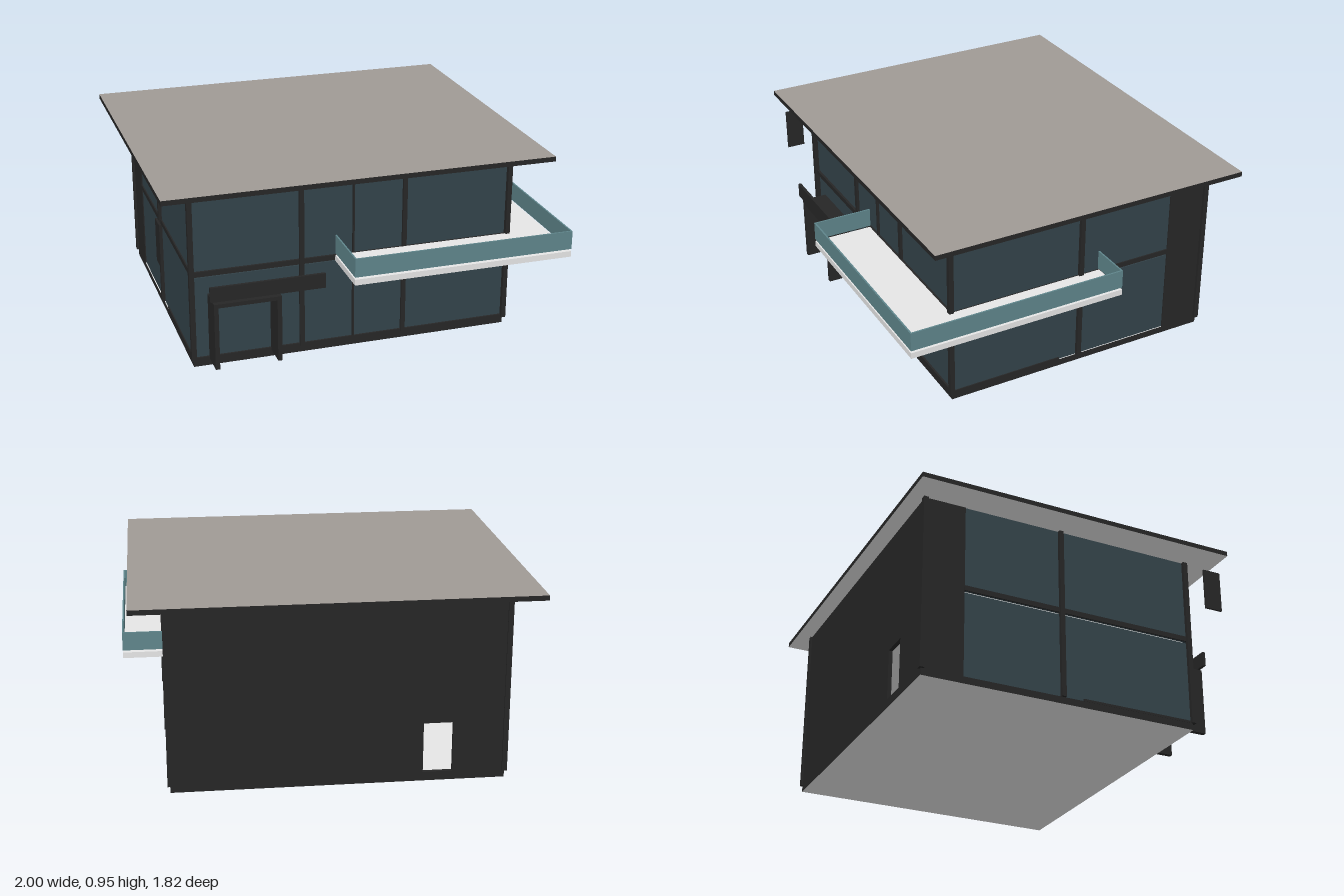
import * as THREE from 'three';

const mat = (name, color) => {
  const m = new THREE.MeshStandardMaterial({ color });
  m.name = name;
  return m;
};

export function createModel() {
  const dark = mat('charcoal frame', 0x262626);
  const glass = mat('tinted window glass', 0x33434a);
  const railGlass = mat('balcony glass', 0x5f858b);
  const white = mat('white concrete', 0xe6e6e6);
  const roofGrey = mat('warm grey roofing', 0xa09a95);

  const house = new THREE.Group();
  house.name = 'house';

  // box given by its limits on each axis
  const box = (name, material, [x0, x1], [y0, y1], [z0, z1], parent = house) => {
    const mesh = new THREE.Mesh(new THREE.BoxGeometry(x1 - x0, y1 - y0, z1 - z0), material);
    mesh.position.set((x0 + x1) / 2, (y0 + y1) / 2, (z0 + z1) / 2);
    mesh.name = name;
    parent.add(mesh);
    return mesh;
  };
  // materials for a slab: sides, top, bottom
  const slab = (side, top, bottom) => [side, side, top, bottom, side, side];
  const group = (name) => {
    const g = new THREE.Group();
    g.name = name;
    house.add(g);
    return g;
  };

  const L = -0.84, R = 0.79, F = 0.6, B = -0.83;
  const base = 0.035, eaves = 0.925;

  // foundation, upper floor and overhanging roof
  box('foundation', slab(dark, white, white), [L, R], [0, base], [B, F]);
  box('upperFloor', white, [L + 0.016, R - 0.016], [0.468, 0.5], [B + 0.02, F - 0.022]);
  box('roof', slab(dark, roofGrey, white), [-1, 0.96], [eaves, 0.95], [-0.91, 0.76]);

  // rear wall with a doorway, and its short side returns
  const wallShape = new THREE.Shape();
  wallShape.moveTo(L, base).lineTo(R, base).lineTo(R, eaves).lineTo(L, eaves).closePath();
  const door = new THREE.Path();
  door.moveTo(-0.58, 0.045).lineTo(-0.58, 0.3).lineTo(-0.435, 0.3).lineTo(-0.435, 0.045).closePath();
  wallShape.holes.push(door);
  const rear = new THREE.Mesh(
    new THREE.ExtrudeGeometry(wallShape, { depth: 0.02, bevelEnabled: false }), dark);
  rear.position.z = B;
  rear.name = 'rearWall';
  house.add(rear);
  box('leftReturnWall', dark, [R - 0.02, R], [base, eaves], [B + 0.02, -0.62]);
  box('rightReturnWall', dark, [L, L + 0.02], [base, eaves], [B + 0.02, -0.62]);

  // glazing on two storeys
  const windows = group('windows');
  for (const y of [[base, 0.468], [0.477, eaves]]) {
    box('frontGlass', glass, [L + 0.005, R - 0.005], y, [F - 0.02, F - 0.008], windows);
    box('leftGlass', glass, [R - 0.015, R - 0.005], y, [-0.62, F - 0.01], windows);
    box('rightGlass', glass, [L + 0.005, L + 0.015], y, [-0.62, F - 0.01], windows);
  }

  // posts, mullions and floor beams
  const frame = group('frame');
  const tall = [base, eaves];
  for (const x of [[L - 0.012, L + 0.013], [R - 0.01, R + 0.013]]) {
    box('frontCornerPost', dark, x, tall, [F - 0.01, F + 0.015], frame);
    box('rearCornerPost', dark, x, tall, [B - 0.01, B + 0.015], frame);
    box('sideMullion', dark, x, tall, [-0.122, -0.098], frame);
  }
  for (const [x, w] of [[-0.289, 0.024], [-0.025, 0.008], [0.24, 0.022]]) {
    box('frontMullion', dark, [x - w / 2, x + w / 2], tall, [F - 0.01, F + 0.006], frame);
  }
  const beam = [0.477, 0.503];
  box('frontBeam', dark, [L, R], beam, [F - 0.01, F + 0.004], frame);
  box('leftBeam', dark, [R - 0.01, R + 0.002], beam, [-0.62, F], frame);
  box('rightBeam', dark, [L - 0.002, L + 0.01], beam, [-0.62, F], frame);
  box('frontSill', dark, [L, R], [base, 0.047], [F - 0.01, F + 0.002], frame);
  box('leftSill', dark, [R - 0.01, R + 0.001], [base, 0.047], [0, F], frame);
  box('rightSill', dark, [L - 0.001, L + 0.01], [base, 0.047], [0, F], frame);

  // entrance portal and the boards hung in front and at the side
  const portal = group('entrancePortal');
  const depth = [F - 0.01, 0.725];
  box('portalJamb', dark, [-0.76, -0.738], [base, 0.38], depth, portal);
  box('portalJamb', dark, [-0.448, -0.426], [base, 0.38], depth, portal);
  box('portalHeader', dark, [-0.738, -0.448], [0.36, 0.38], depth, portal);
  box('entranceBoard', dark, [-0.78, -0.21], [0.4, 0.475], [0.723, 0.738]);
  box('sideBoard', dark, [-1, -0.99], [0.597, 0.81], [0.61, 0.703]);

  // wrap-around balcony
  const balcony = group('balcony');
  const deck = [0.474, 0.504], rail = [0.515, 0.61], t = 0.008;
  const x0 = -0.12, x1 = 1, z0 = -0.215, z1 = 0.908;
  box('frontDeck', white, [x0, x1], deck, [F + 0.005, z1], balcony);
  box('sideDeck', white, [R + 0.003, x1], deck, [z0, F + 0.005], balcony);
  box('frontRailing', railGlass, [x0, x1], rail, [z1 - t, z1], balcony);
  box('sideRailing', railGlass, [x1 - t, x1], rail, [z0, z1 - t], balcony);
  box('frontRailingEnd', railGlass, [x0, x0 + t], rail, [F + 0.005, z1 - t], balcony);
  box('sideRailingEnd', railGlass, [R + 0.003, x1 - t], rail, [z0, z0 + t], balcony);

  return house;
}
